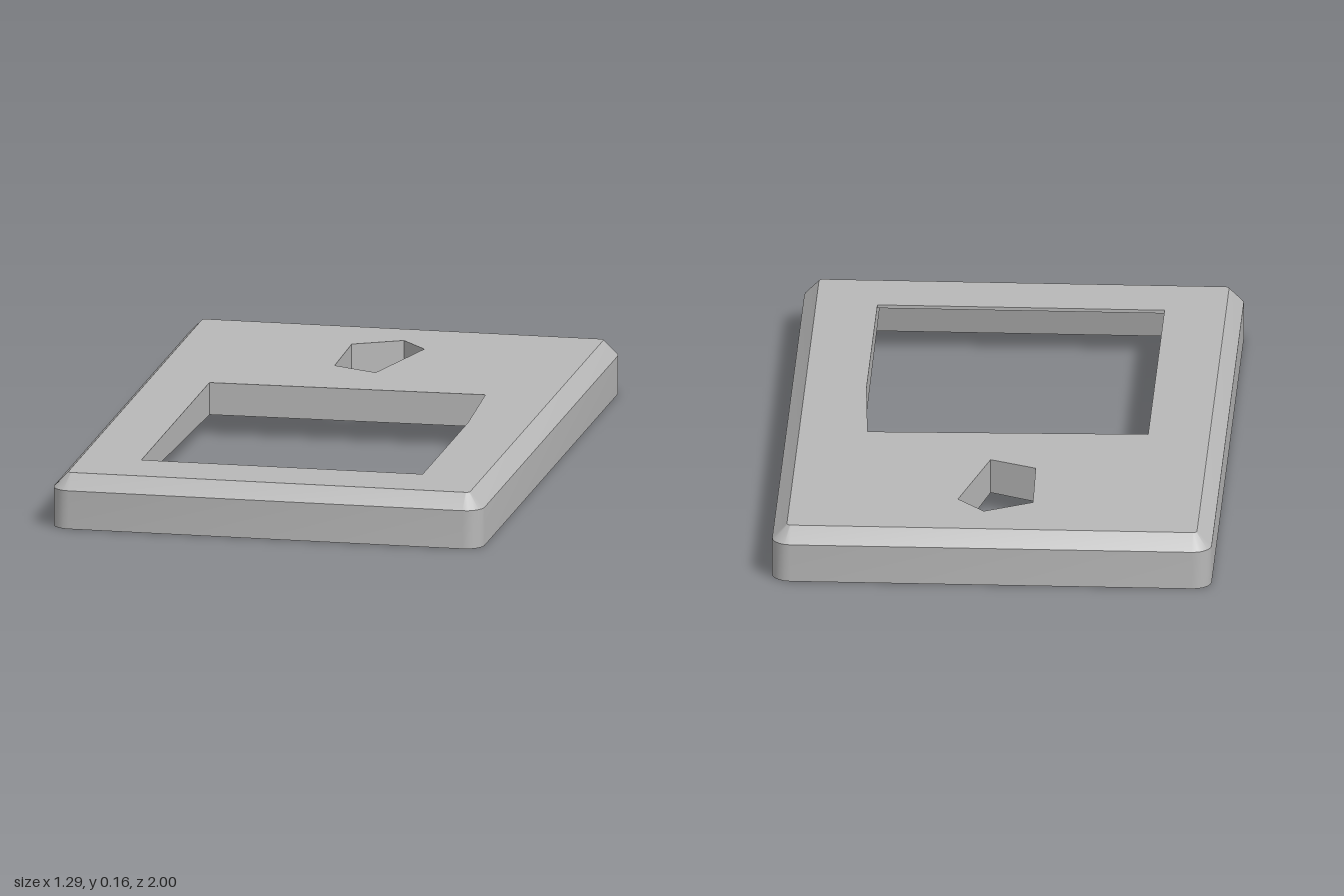
import * as THREE from 'three';
import { toCreasedNormals } from 'three/addons/utils/BufferGeometryUtils.js';

// Plan outlines as [x, z]
const WINDOW = [[-0.42, -0.2], [0.4, -0.22], [0.42, 0.12], [0.42, 0.765], [-0.42, 0.765]];
const PENTAGON = [[0.03, -0.82], [0.11, -0.73], [0.03, -0.42], [-0.105, -0.48], [-0.11, -0.745]];
const TOP = 0.16;
// Underside of the thick plate rises gently towards the front
const underside = (z) => 0.04 + 0.06 * (z + 0.92) / 1.85;

// Rounded rectangle outline, clockwise seen from below
function roundedRect(hx, hz, r, steps = 5) {
  const pts = [];
  [[1, 1], [-1, 1], [-1, -1], [1, -1]].forEach(([sx, sz], k) => {
    for (let i = 0; i <= steps; i++) {
      const a = (k + i / steps) * Math.PI / 2;
      pts.push([sx * (hx - r) + r * Math.cos(a), sz * (hz - r) + r * Math.sin(a)]);
    }
  });
  return pts;
}

const lift = (pts, y) => pts.map(([x, z]) => [x, typeof y === 'function' ? y(z) : y, z]);

// Triangles bridging a row of equal-length loops
function loft(loops, closed = true) {
  const out = [];
  for (let k = 0; k + 1 < loops.length; k++) {
    const a = loops[k], b = loops[k + 1], n = a.length;
    for (let i = 0; i < (closed ? n : n - 1); i++) {
      const j = (i + 1) % n;
      out.push(...a[i], ...b[i], ...a[j], ...a[j], ...b[i], ...b[j]);
    }
  }
  const g = new THREE.BufferGeometry();
  g.setAttribute('position', new THREE.Float32BufferAttribute(out, 3));
  return toCreasedNormals(g, 0.5);
}

// Flat or tilted sheet with holes, facing up or down
function sheet(outline, holes, height, up) {
  const vec = (pts) => pts.map(([x, z]) => new THREE.Vector2(x, -z));
  const shape = new THREE.Shape(vec(outline));
  shape.holes = holes.map((h) => new THREE.Path(vec(h)));
  const g = new THREE.ShapeGeometry(shape).rotateX(-Math.PI / 2);
  const p = g.attributes.position;
  for (let i = 0; i < p.count; i++) p.setY(i, height(p.getZ(i)));
  if (!up) {
    const ix = g.index.array;
    for (let i = 0; i < ix.length; i += 3) [ix[i], ix[i + 1]] = [ix[i + 1], ix[i]];
  }
  g.computeVertexNormals();
  return g;
}

export function createModel() {
  const group = new THREE.Group();
  const grey = new THREE.MeshStandardMaterial({ color: 0xb8b8b8, side: THREE.DoubleSide });
  grey.name = 'plain grey';
  const add = (name, geometry) => {
    const mesh = new THREE.Mesh(geometry, grey);
    mesh.name = name;
    group.add(mesh);
  };

  // Outer wall with a bevelled top edge
  const base = roundedRect(0.643, 1, 0.055);
  const crown = roundedRect(0.6, 0.957, 0.012);
  add('outerWall', loft([lift(base, 0), lift(base, 0.115), lift(crown, TOP)]));
  add('topFace', sheet(crown, [WINDOW, PENTAGON], () => TOP, true));

  // Narrow rim the frame stands on
  const inner = roundedRect(0.6, 0.957, 0.012);
  add('bottomRim', loft([lift(inner, 0), lift(base, 0)]));

  // Sloping inner sides, from the rim up to the plate
  const rimCorners = [[0.6, 0.957], [-0.6, 0.957], [-0.6, -0.957], [0.6, -0.957]];
  const pocket = [[0.42, 0.93], [-0.42, 0.93], [-0.42, -0.92], [0.42, -0.92]];
  add('innerSlopes', loft([lift(pocket, underside), lift(rimCorners, 0)]));

  // Underside of the plate behind the window
  const back = [[-0.42, -0.92], [0.42, -0.92], [0.42, 0.12], [0.4, -0.22], [-0.42, -0.2]];
  add('plateUnderside', sheet(back, [PENTAGON], underside, false));

  // Walls of the two openings
  add('pentagonWall', loft([lift(PENTAGON, TOP), lift(PENTAGON, underside)]));
  const sides = [4, 0, 1, 2, 3].map((i) => WINDOW[i]);
  add('windowWall', loft([lift(sides, TOP), lift(sides, underside)], false));

  // Thin front lip, undercut towards the rim
  const lip = (y, z) => [[0.42, y, z], [-0.42, y, z]];
  add('frontLip', loft([lip(TOP, 0.765), lip(0.15, 0.765), lip(0.1, 0.93)], false));
  for (const x of [-0.42, 0.42]) {
    const wall = [[[x, 0.15, 0.765], [x, 0.1, 0.93]], [[x, underside(0.765), 0.765], [x, 0.1, 0.93]]];
    add('lipCheek', loft(wall, false));
  }
  return group;
}
